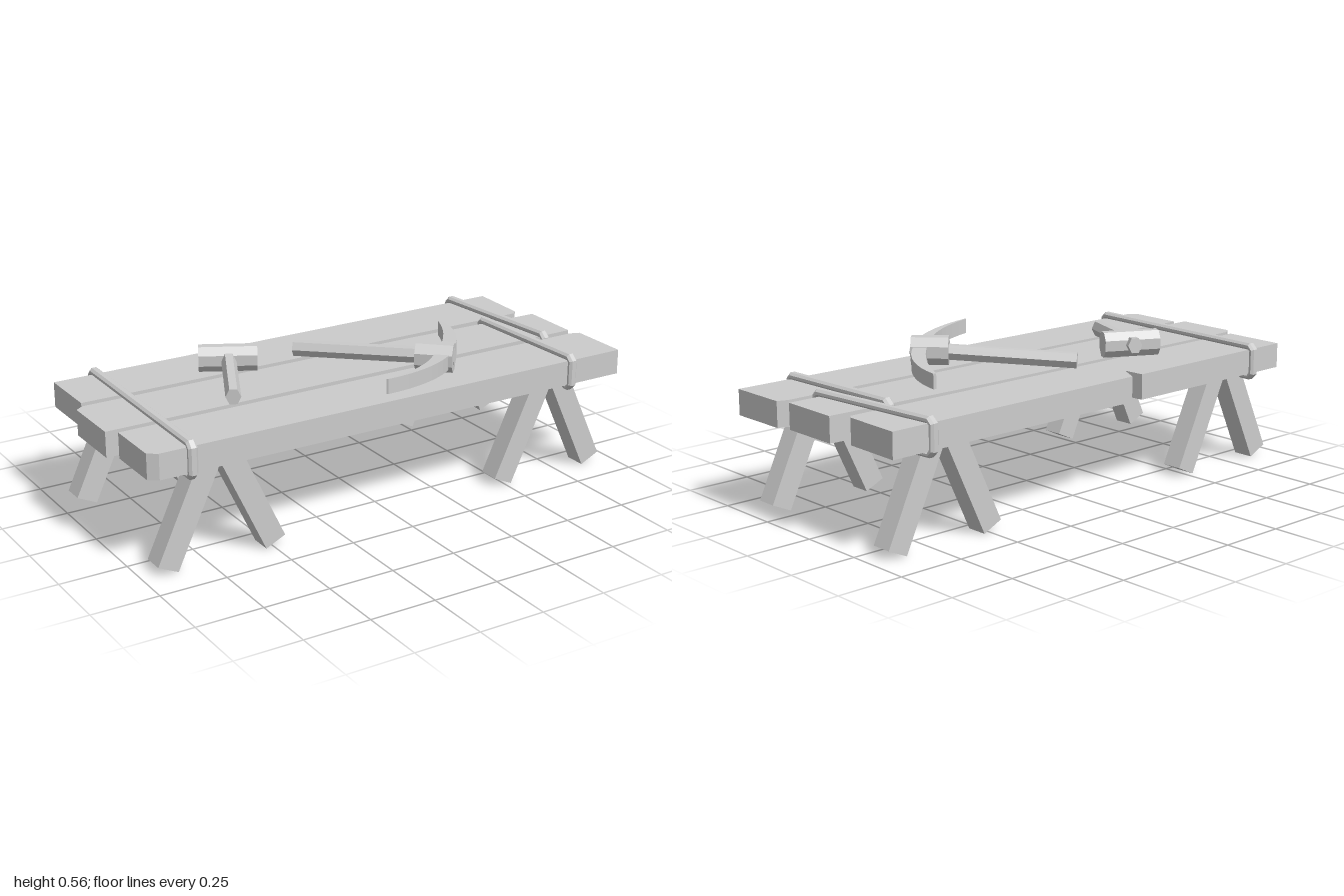
import * as THREE from 'three';

const mat = new THREE.MeshStandardMaterial({ color: 0xcccccc, flatShading: true });

export function createModel() {
  const model = new THREE.Group();

  const add = (name, geometry, parent = model) => {
    const mesh = new THREE.Mesh(geometry, mat);
    mesh.name = name;
    parent.add(mesh);
    return mesh;
  };
  const toShape = (pts) => new THREE.Shape(pts.map(([x, y]) => new THREE.Vector2(x, y)));

  // Outline given in x, z; extruded downwards from the given top height
  const slab = (shape, top, depth) => {
    const g = new THREE.ExtrudeGeometry(shape, { depth, bevelEnabled: false, curveSegments: 8 });
    return g.rotateX(Math.PI / 2).translate(0, top, 0);
  };

  // Faceted bar between two points, with flats facing up and down
  const bar = (name, from, to, width, height, sides, parent) => {
    const a = new THREE.Vector3(...from), b = new THREE.Vector3(...to);
    const r = 0.5 / Math.cos(Math.PI / sides);
    const g = new THREE.CylinderGeometry(r, r, a.distanceTo(b), sides)
      .rotateY(Math.PI / sides).rotateX(Math.PI / 2).scale(width, height, 1);
    const mesh = add(name, g, parent);
    mesh.position.copy(a).lerp(b, 0.5);
    mesh.lookAt(b);
    return mesh;
  };

  // Table top: three rough planks
  const planks = {
    backPlank: [[-0.96, -0.4], [-0.2, -0.4], [-0.195, -0.32], [-0.15, -0.4], [0.947, -0.4],
      [0.94, -0.17], [0.925, -0.152], [-0.96, -0.16]],
    middlePlank: [[-1, -0.108], [-0.97, -0.13], [0.4, -0.125], [0.98, -0.108], [0.977, 0.125], [-1, 0.125]],
    frontPlank: [[-0.965, 0.153], [0.955, 0.158], [0.995, 0.172], [0.995, 0.403], [-0.93, 0.388], [-0.965, 0.365]],
  };
  for (const [name, pts] of Object.entries(planks)) add(name, slab(toShape(pts), 0.45, 0.095));

  // Splayed legs, in crossed pairs under each corner
  const tilt = THREE.MathUtils.degToRad(25), legLength = 0.44;
  for (const cx of [-0.7, 0.695]) for (const z of [0.34, -0.32]) for (const side of [-1, 1]) {
    const leg = add('leg', new THREE.BoxGeometry(0.083, legLength, 0.08).translate(0, legLength / 2, 0));
    leg.position.set(cx + side * 0.2075, 0.0175, z);
    leg.rotation.z = side * tilt;
  }

  // Chamfered rope loops binding the planks
  const loopPoints = (halfU, y0, y1, c) => [
    [-halfU + c, y0], [halfU - c, y0], [halfU, y0 + c], [halfU, y1 - c],
    [halfU - c, y1], [-halfU + c, y1], [-halfU, y1 - c], [-halfU, y0 + c],
  ];
  const strap = (x0, z0, x1, z1) => {
    const half = Math.hypot(x1 - x0, z1 - z0) / 2;
    const shape = toShape(loopPoints(half, 0.333, 0.475, 0.022));
    shape.holes.push(toShape(loopPoints(half - 0.024, 0.356, 0.449, 0.006)));
    const g = new THREE.ExtrudeGeometry(shape, {
      depth: 0.018, bevelSize: 0.008, bevelOffset: -0.008, bevelThickness: 0.009, bevelSegments: 1,
    });
    const mesh = add('ropeBinding', g.translate(0, 0, -0.009).rotateY(Math.PI / 2));
    mesh.position.set((x0 + x1) / 2, 0, (z0 + z1) / 2);
    mesh.rotation.y = Math.atan2(x1 - x0, z1 - z0);
  };
  strap(-0.8, -0.425, -0.815, 0.415);
  strap(0.787, -0.425, 0.845, 0.16);
  strap(0.745, -0.142, 0.77, 0.42);

  // Hammer lying on the table
  const hammer = new THREE.Group();
  hammer.name = 'hammer';
  model.add(hammer);
  bar('hammerHead', [-0.465, 0.503, -0.222], [-0.275, 0.503, -0.122], 0.078, 0.095, 8, hammer);
  bar('hammerHandle', [-0.523, 0.486, 0.15], [-0.341, 0.506, -0.228], 0.048, 0.056, 6, hammer);

  // Pickaxe lying on the table
  const pick = new THREE.Group();
  pick.name = 'pickaxe';
  model.add(pick);
  bar('pickHandle', [-0.083, 0.483, -0.183], [0.325, 0.511, 0.276], 0.05, 0.054, 6, pick);
  bar('pickCollar', [0.223, 0.508, 0.179], [0.323, 0.508, 0.275], 0.1, 0.104, 8, pick);

  // Curved pick blade, tilted gently down towards its right-hand tip
  const outline = new THREE.Shape();
  outline.moveTo(-0.065, 0.418);
  outline.quadraticCurveTo(0.12, 0.385, 0.23, 0.275);
  outline.lineTo(0.31, 0.2);
  outline.quadraticCurveTo(0.44, 0.07, 0.503, -0.085);
  outline.lineTo(0.514, -0.082);
  outline.quadraticCurveTo(0.5, 0.09, 0.355, 0.228);
  outline.lineTo(0.27, 0.31);
  outline.quadraticCurveTo(0.13, 0.41, -0.06, 0.423);
  const blade = slab(outline, 0.53, 0.056);
  const p = blade.attributes.position;
  for (let i = 0; i < p.count; i++) {
    const along = (p.getX(i) - 0.23) * 0.75 - (p.getZ(i) - 0.17) * 0.66;
    p.setY(i, p.getY(i) - along * 0.047);
  }
  blade.computeVertexNormals();
  add('pickBlade', blade, pick);

  return model;
}
